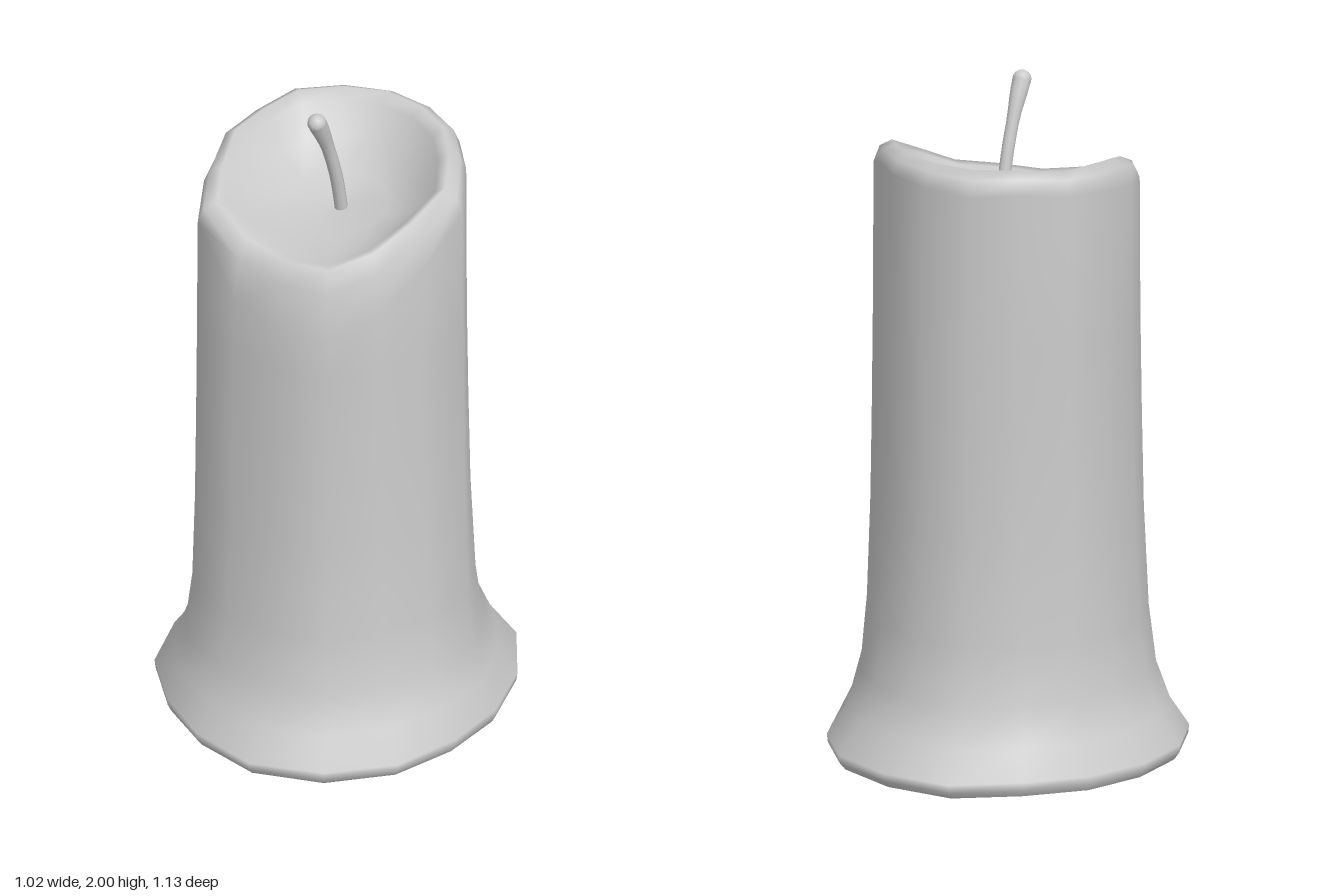
import * as THREE from 'three';

const SIDES = 16; // spokes run from the front (+z) towards +x
const baseR = [.565, .56, .545, .515, .51, .52, .545, .555, .565, .515, .51, .51, .515, .52, .51, .53];
const bodyR = [.385, .415, .385, .38, .405, .375, .375, .375, .38, .37, .385, .36, .37, .38, .42, .39];
const rimY = [1.635, 1.64, 1.67, 1.73, 1.79, 1.82, 1.83, 1.83, 1.83, 1.83, 1.82, 1.81, 1.8, 1.75, 1.72, 1.66];
const shoulderY = [1.43, 1.44, 1.5, 1.6, 1.72, 1.77, 1.77, 1.77, 1.76, 1.77, 1.76, 1.74, 1.72, 1.7, 1.66, 1.48];
const POOL = 1.63;
const mix = THREE.MathUtils.lerp;

// Smooth skin through rings; each ring maps a spoke index to [radius, height]
function loft(rings) {
  const pos = [], idx = [];
  for (const ring of rings) {
    for (let i = 0; i < SIDES; i++) {
      const [r, y] = ring(i), a = (i / SIDES) * Math.PI * 2;
      pos.push(r * Math.sin(a), y, r * Math.cos(a));
    }
  }
  for (let k = 0; k < rings.length - 1; k++) {
    for (let i = 0; i < SIDES; i++) {
      const j = (i + 1) % SIDES, a = k * SIDES, b = a + SIDES;
      idx.push(a + i, a + j, b + j, a + i, b + j, b + i);
    }
  }
  const g = new THREE.BufferGeometry();
  g.setAttribute('position', new THREE.Float32BufferAttribute(pos, 3));
  g.setIndex(idx);
  g.computeVertexNormals();
  return g;
}

export function createModel() {
  const group = new THREE.Group();
  const material = new THREE.MeshStandardMaterial({ color: 0xcccccc });
  const add = (name, geometry) => {
    const mesh = new THREE.Mesh(geometry, material);
    mesh.name = name;
    group.add(mesh);
  };

  // Wax body: [height, share of the flared foot outline]
  const foot = [[.01, .88], [.03, .98], [.055, 1], [.14, .6], [.25, .32], [.42, .17], [.72, .07], [1, .03], [1.3, 0]];
  const rings = foot.map(([y, t]) => i => [mix(bodyR[i], baseR[i], t), y]);
  // Melted shoulder and rim, higher at the back than at the front
  rings.push(
    i => [bodyR[i] * .995, shoulderY[i]],
    i => [bodyR[i] * .95, mix(shoulderY[i], rimY[i], .7)],
    i => [bodyR[i] * .86, rimY[i]],
  );
  // Hollow pool around the wick: [share of radius, share of rim height]
  for (const [s, h] of [[.78, .86], [.64, .4], [.4, .1], [.001, 0]]) {
    rings.push(i => [bodyR[i] * s, mix(POOL, rimY[i], h)]);
  }
  add('waxBody', loft(rings));

  // Flat underside
  const bottomRing = i => [mix(bodyR[i], baseR[i], .88), .01];
  add('underside', loft([() => [.001, .003], bottomRing]));

  // Leaning wick with a thicker rounded head
  const path = new THREE.CatmullRomCurve3([
    new THREE.Vector3(.018, 1.6, -.005),
    new THREE.Vector3(.013, 1.75, .025),
    new THREE.Vector3(.002, 1.88, .065),
    new THREE.Vector3(-.008, 1.975, .108),
  ]);
  const wick = new THREE.TubeGeometry(path, 12, 1, 10);
  const p = wick.attributes.position, v = new THREE.Vector3();
  for (let k = 0; k < p.count; k++) {
    const t = Math.floor(k / 11) / 12, c = path.getPointAt(t);
    const r = mix(.019, .028, THREE.MathUtils.smoothstep(t, .65, 1));
    v.fromBufferAttribute(p, k).sub(c).multiplyScalar(r).add(c);
    p.setXYZ(k, v.x, v.y, v.z);
  }
  wick.computeVertexNormals();
  add('wick', wick);
  add('wickHead', new THREE.SphereGeometry(.028, 12, 8).translate(-.008, 1.972, .107));
  return group;
}
